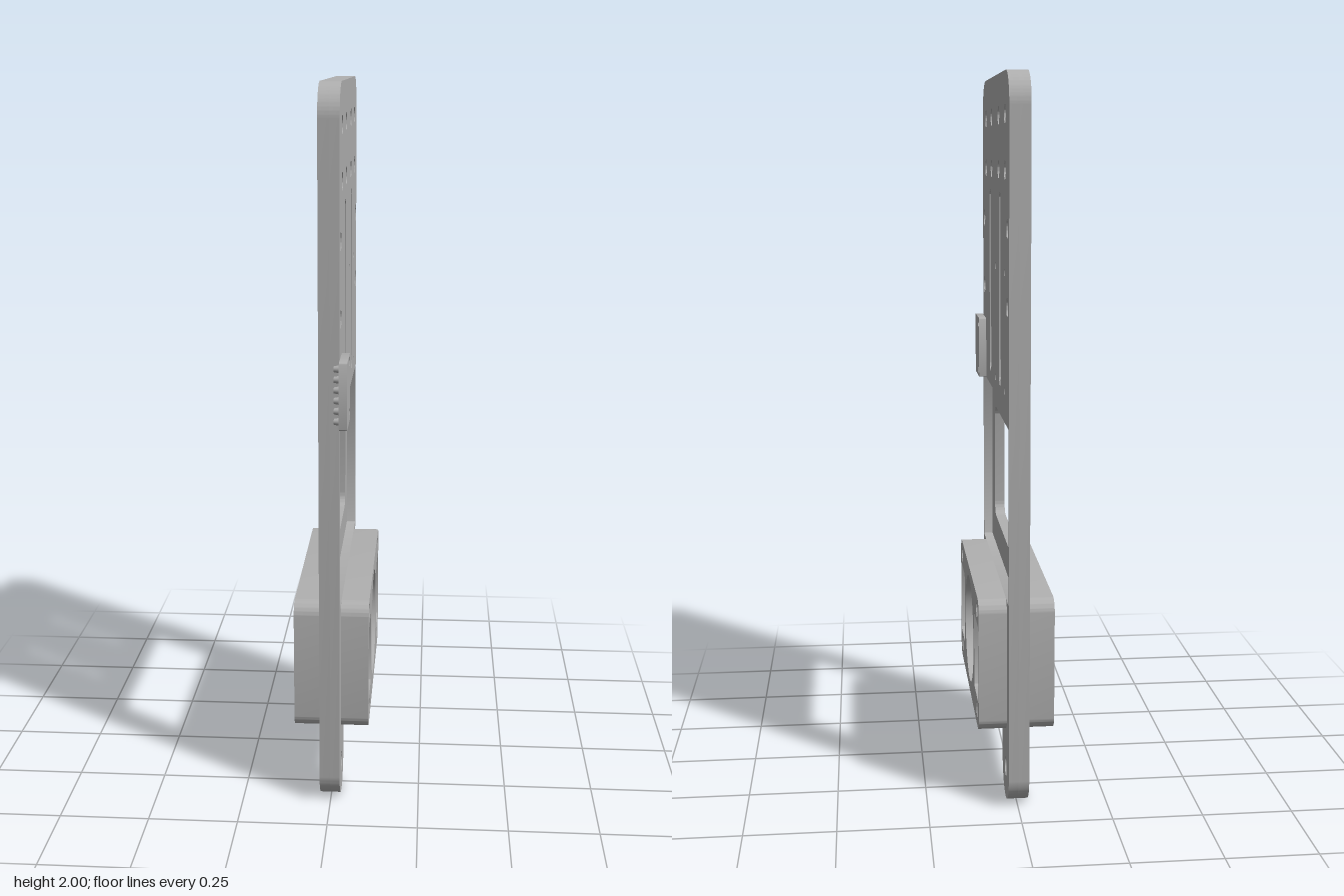
import * as THREE from 'three';
import { toCreasedNormals } from 'three/addons/utils/BufferGeometryUtils.js';

// Profiles are drawn with u = -z and v = y, then extruded along x.
const CENTRE = 0.0165; // u of the plate's centre line

function roundedRect(u0, u1, v0, v1, r, P = THREE.Shape) {
  const p = new P();
  p.moveTo(u0 + r, v0);
  p.lineTo(u1 - r, v0);
  p.absarc(u1 - r, v0 + r, r, -Math.PI / 2, 0);
  p.lineTo(u1, v1 - r);
  p.absarc(u1 - r, v1 - r, r, 0, Math.PI / 2);
  p.lineTo(u0 + r, v1);
  p.absarc(u0 + r, v1 - r, r, Math.PI / 2, Math.PI);
  p.lineTo(u0, v0 + r);
  p.absarc(u0 + r, v0 + r, r, Math.PI, Math.PI * 1.5);
  return p;
}

const rectHole = (...a) => roundedRect(...a, THREE.Path);
const roundHole = (u, v, r) => new THREE.Path().absarc(u, v, r, 0, Math.PI * 2);

// Plate outline: rounded top, two round feet and a notch between them
function plateOutline() {
  const u0 = -0.38, u1 = 0.413, top = 2, R = 0.09, f = 0.0875, n = 0.04, notch = 0.18;
  const a = u0 + 2 * f, b = u1 - 2 * f;
  const s = new THREE.Shape();
  s.moveTo(u0, f);
  s.absarc(u0 + f, f, f, Math.PI, Math.PI * 2);
  s.lineTo(a, notch - n);
  s.absarc(a + n, notch - n, n, Math.PI, Math.PI / 2, true);
  s.lineTo(b - n, notch);
  s.absarc(b - n, notch - n, n, Math.PI / 2, 0, true);
  s.lineTo(b, f);
  s.absarc(u1 - f, f, f, Math.PI, Math.PI * 2);
  s.lineTo(u1, top - R);
  s.absarc(u1 - R, top - R, R, 0, Math.PI / 2);
  s.lineTo(u0 + R, top);
  s.absarc(u0 + R, top - R, R, Math.PI / 2, Math.PI);
  s.lineTo(u0, f);
  return s;
}

// Openings shared by the plate and both blocks
function blockHoles(screwRadius) {
  const holes = [
    roundHole(0.0155, 0.395, 0.158),
    rectHole(-0.316, -0.17, 0.285, 0.505, 0.012),
    rectHole(0.2, 0.346, 0.285, 0.505, 0.012),
  ];
  for (const u of [-0.265, 0.296])
    for (const v of [0.25, 0.543]) holes.push(roundHole(u, v, screwRadius));
  return holes;
}

function plateHoles() {
  const holes = blockHoles(0.014);
  for (const v of [1.745, 1.89])
    for (const u of [-0.269, -0.091, 0.122, 0.3]) holes.push(roundHole(u, v, 0.025));
  for (const v of [1.39, 1.595])
    for (const u of [-0.33, 0.362]) holes.push(roundHole(u, v, 0.025));
  for (const v of [1.155, 1.475])
    for (const u of [0.038, 0.286]) holes.push(roundHole(u, v, 0.01));
  for (const u of [-0.131, 0.161])
    holes.push(rectHole(u - 0.024, u + 0.024, 1.15, 1.685, 0.0235));
  for (const u of [-0.295, 0.326]) holes.push(roundHole(u, 0.09, 0.027));
  for (const v of [1.13, 1.27]) holes.push(roundHole(-0.305, v, 0.013));
  return holes;
}

export function createModel() {
  const group = new THREE.Group();
  const grey = new THREE.MeshStandardMaterial({ color: 0xb0b0b0 });
  grey.name = 'grey metal';

  const add = (name, geometry) => {
    const mesh = new THREE.Mesh(geometry, grey);
    mesh.name = name;
    group.add(mesh);
    return mesh;
  };
  const slab = (name, shape, holes, x0, x1) => {
    shape.holes.push(...holes);
    const g = new THREE.ExtrudeGeometry(shape, { depth: x1 - x0, bevelEnabled: false, curveSegments: 20 });
    g.translate(0, 0, x0).rotateY(Math.PI / 2);
    return add(name, toCreasedNormals(g, 0.6));
  };

  // Plate: a full back layer and a front layer with a rectangular recess
  const windowHole = rectHole(-0.282, 0.313, 0.673, 1.018, 0.038);
  const recess = rectHole(CENTRE - 0.387, CENTRE + 0.387, 0.583, 1.107, 0.002);
  slab('plateBackLayer', plateOutline(), [...plateHoles(), windowHole], -0.03, 0);
  slab('plateFrontLayer', plateOutline(), [...plateHoles(), recess], 0, 0.027);

  // Bearing blocks on both faces
  for (const [name, x0, x1] of [['outerBlock', 0.027, 0.105], ['innerBlock', -0.105, -0.03]])
    slab(name, roundedRect(-0.328, 0.361, 0.205, 0.584, 0.04), blockHoles(0.022), x0, x1);

  // Small connector board with a row of pins at its overhanging edge
  const boardHoles = [1.13, 1.27].map((v) => roundHole(-0.305, v, 0.013));
  slab('connectorBoard', roundedRect(-0.415, -0.28, 1.107, 1.29, 0.004), boardHoles, 0.027, 0.049);
  for (let i = 0; i < 6; i++) {
    const pin = add('connectorPin', new THREE.CylinderGeometry(0.011, 0.008, 0.016, 16));
    pin.rotation.z = -Math.PI / 2;
    pin.position.set(0.021, 1.128 + i * 0.0284, 0.398);
  }
  return group;
}
